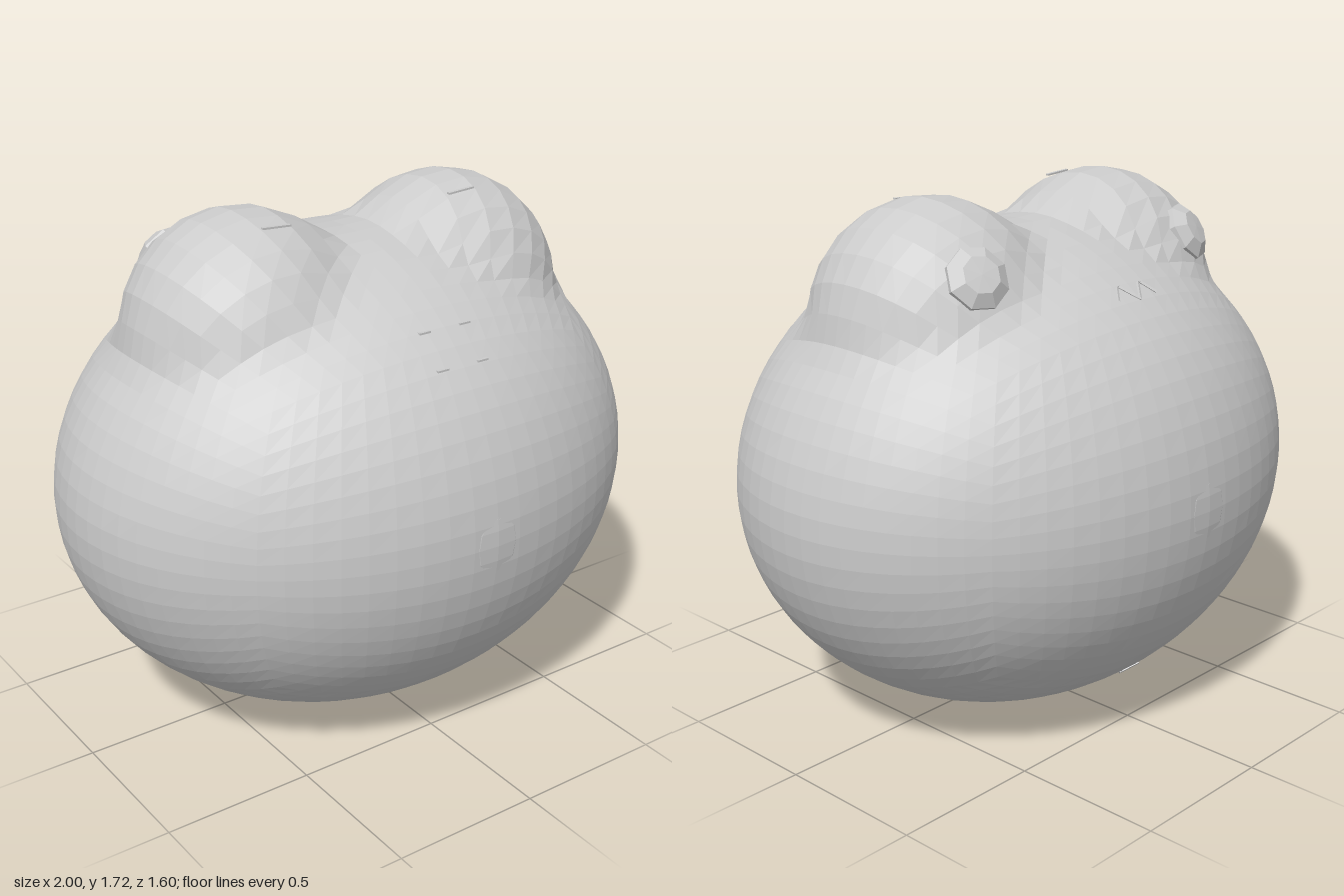
import * as THREE from 'three';

const RADII = new THREE.Vector3(1, 0.8, 0.8);
const CENTRE = new THREE.Vector3(0, 0.8, 0);
const HUMP = { x: 0.39, y: 0.54, r: 0.38 }; // relative to the body centre

const grey = new THREE.MeshStandardMaterial({ color: 0xcccccc, flatShading: true, side: THREE.DoubleSide });

function addMesh(parent, name, geometry) {
  const mesh = new THREE.Mesh(geometry, grey);
  mesh.name = name;
  parent.add(mesh);
  return mesh;
}

// Soft union of the egg-shaped body and the two round humps
function distance(p) {
  const body = (Math.hypot(p.x / RADII.x, p.y / RADII.y, p.z / RADII.z) - 1) * 0.8;
  const hump = Math.hypot(Math.abs(p.x) - HUMP.x, p.y - HUMP.y, p.z) - HUMP.r;
  const k = 0.05;
  const h = Math.max(k - Math.abs(body - hump), 0) / k;
  return Math.min(body, hump) - h * h * k * 0.25;
}

// Point where a ray from the body centre leaves the skin
function skinPoint(direction) {
  let near = 0.4, far = 2;
  const p = new THREE.Vector3();
  for (let i = 0; i < 24; i++) {
    const mid = (near + far) / 2;
    p.copy(direction).multiplyScalar(mid);
    if (distance(p) < 0) near = mid; else far = mid;
  }
  return p;
}

// Skin built from a subdivided cube blown up to the rounded form
function bodyGeometry() {
  const geometry = new THREE.BoxGeometry(2, 2, 2, 18, 18, 18);
  const position = geometry.attributes.position;
  const v = new THREE.Vector3();
  for (let i = 0; i < position.count; i++) {
    v.fromBufferAttribute(position, i);
    v.set(...v.toArray().map((c) => Math.tan((c * Math.PI) / 4))).normalize().multiply(RADII);
    const p = skinPoint(v);
    position.setXYZ(i, p.x, p.y, p.z);
  }
  geometry.computeVertexNormals();
  return geometry;
}

// Point on the skin above a given x and y, on the side of z given by sign
function onSide(x, y, sign, lift = 0) {
  const dy = y - CENTRE.y;
  const z = RADII.z * Math.sqrt(1 - x * x - (dy / RADII.y) ** 2);
  return new THREE.Vector3(x, y, sign * (z + lift));
}

export function createModel() {
  const model = new THREE.Group();
  model.name = 'roundCreature';

  addMesh(model, 'body', bodyGeometry()).position.copy(CENTRE);

  // Flattened eight-sided eyes lying on the humps
  const eyeProfile = [[0, -0.045], [0.06, -0.042], [0.1, -0.014], [0.1, 0.014], [0.06, 0.042], [0, 0.045]]
    .map(([x, y]) => new THREE.Vector2(x, y));
  for (const side of [-1, 1]) {
    const outward = new THREE.Vector3(0.28 * side, 0.5, -0.82).normalize();
    const eye = addMesh(model, side > 0 ? 'leftEye' : 'rightEye', new THREE.LatheGeometry(eyeProfile, 8));
    eye.position.set(side * HUMP.x, CENTRE.y + HUMP.y, 0).addScaledVector(outward, 0.365);
    eye.quaternion.setFromUnitVectors(new THREE.Vector3(0, 1, 0), outward);
  }

  // Shallow round patches in the middle of both broad sides
  for (const side of [-1, 1]) {
    const patch = addMesh(model, side > 0 ? 'frontPatch' : 'backPatch', new THREE.SphereGeometry(0.1, 8, 6));
    patch.scale.z = 0.14;
    patch.position.set(0, 0.8, side * 0.788);
  }

  // Small zigzag mouth, with a matching short crease underneath
  const mouth = [[-0.09, 1.42], [-0.05, 1.455], [0, 1.415], [0.05, 1.455], [0.09, 1.42]];
  const crease = [[-0.03, 0.19], [0.02, 0.16], [0.06, 0.19]];
  for (const [name, points] of [['mouth', mouth], ['lowerCrease', crease]]) {
    const path = new THREE.CurvePath();
    for (let i = 1; i < points.length; i++) {
      path.add(new THREE.LineCurve3(onSide(...points[i - 1], -1), onSide(...points[i], -1)));
    }
    addMesh(model, name, new THREE.TubeGeometry(path, 16, 0.006, 4));
  }

  // Fine slits on the front and on top of the humps
  for (const side of [-1, 1]) {
    for (const y of [1.32, 1.41]) {
      const slit = addMesh(model, 'frontSlit', new THREE.BoxGeometry(0.04, 0.006, 0.012));
      slit.position.copy(onSide(side * 0.075, y, 1));
    }
    const slit = addMesh(model, 'humpSlit', new THREE.BoxGeometry(0.1, 0.006, 0.012));
    slit.position.set(side * 0.35, 1.69, 0.145);
    slit.rotation.z = side * 0.06;
  }
  return model;
}
